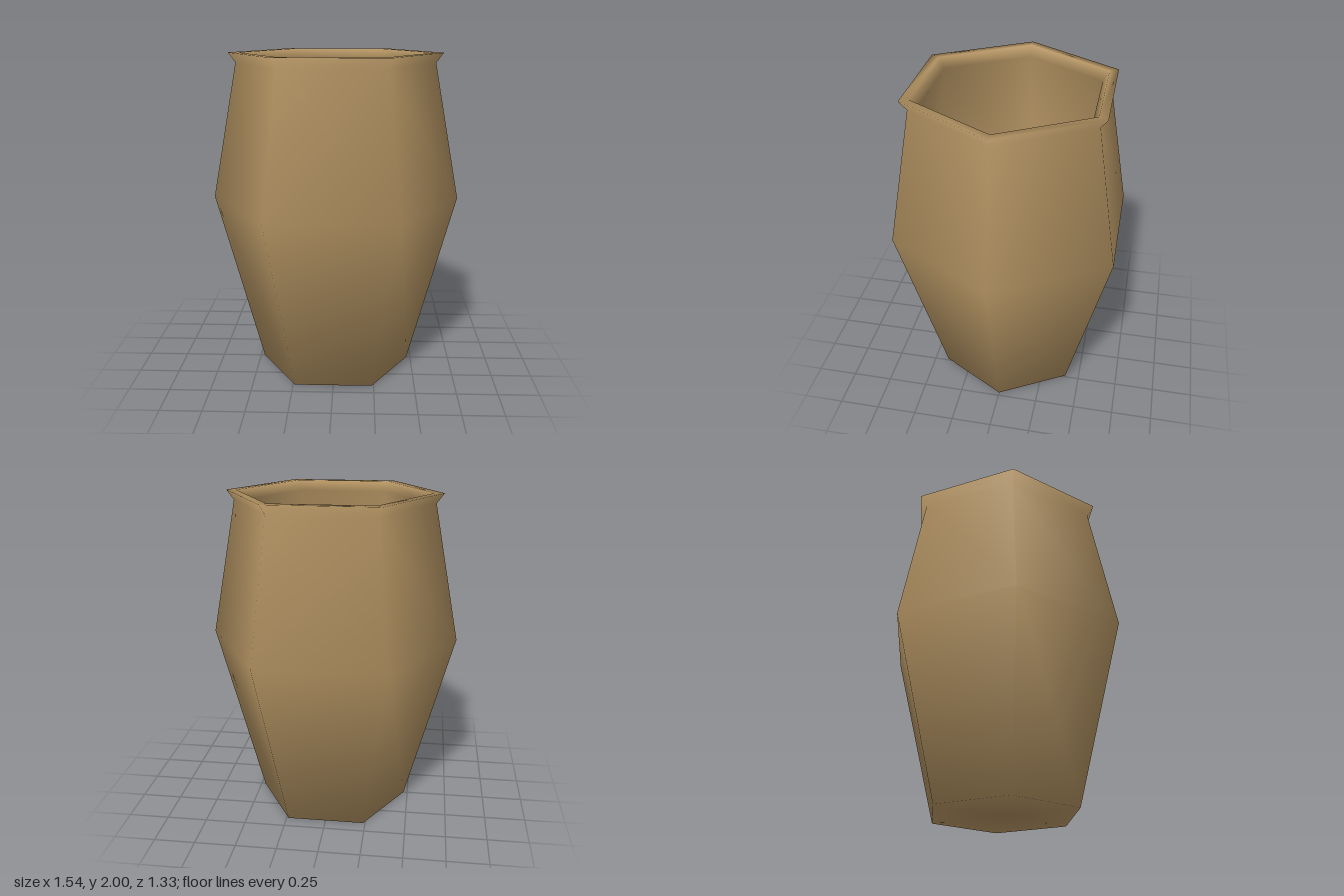
import * as THREE from 'three';

export function createModel() {
  const clay = new THREE.MeshStandardMaterial({ color: 0xb39362 });
  clay.name = 'clay';

  // Closed profile: underside, outer wall, flared rim, inner wall, inner floor
  const profile = [
    [0, 0], [0.475, 0], [0.77, 1.1], [0.61, 1.94], [0.655, 2],
    [0.595, 2], [0.555, 1.94], [0.71, 1.1], [0.42, 0.07], [0, 0.07],
  ].map(([r, y]) => new THREE.Vector2(r, y));

  // Six sides with corners on the x axis, smooth shaded
  const vase = new THREE.Mesh(new THREE.LatheGeometry(profile, 6, Math.PI / 2), clay);
  vase.name = 'vase';

  const model = new THREE.Group();
  model.name = 'hexagonalVase';
  model.add(vase);
  return model;
}
